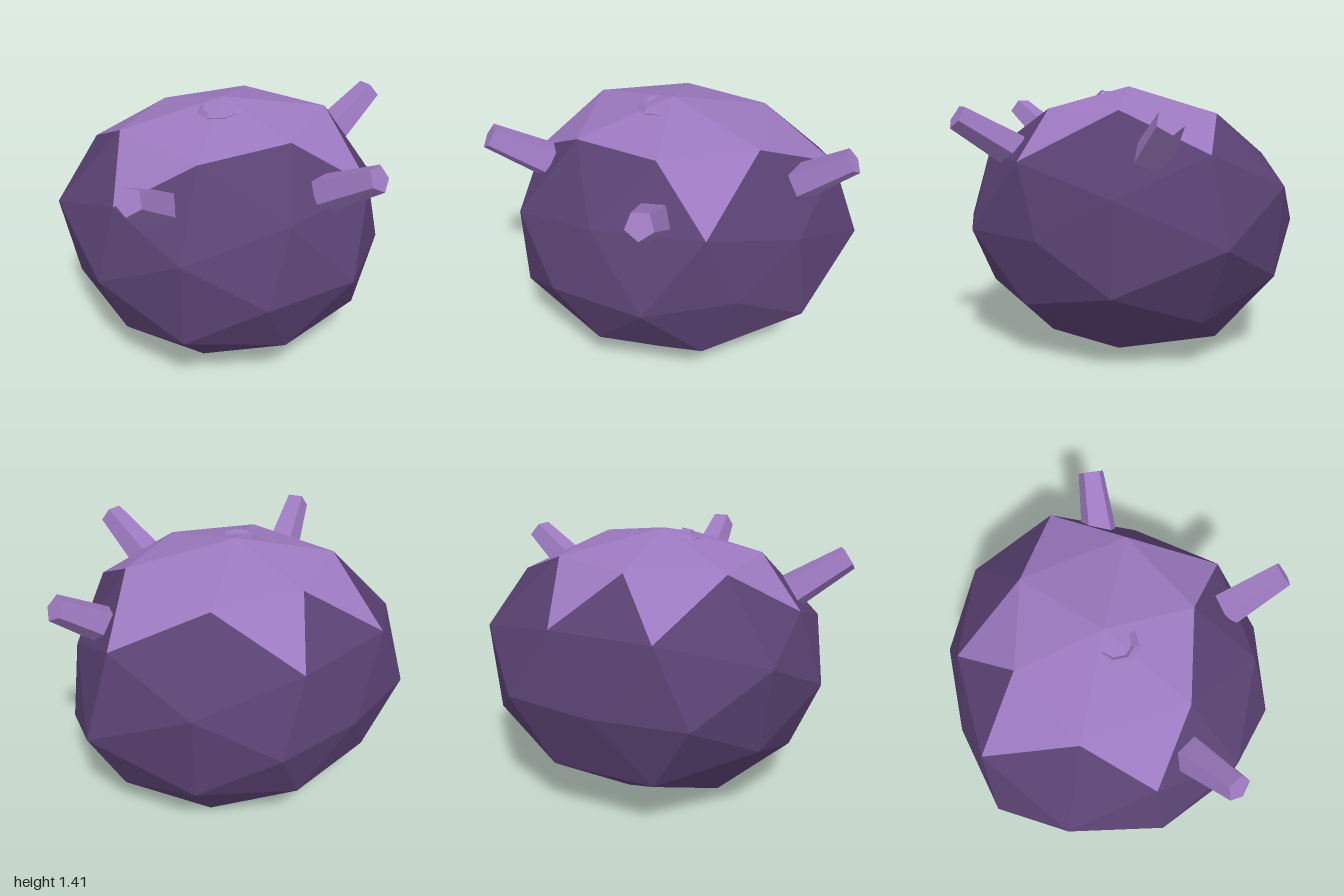
import * as THREE from 'three';

const shellMat = new THREE.MeshStandardMaterial({ name: 'dark purple shell', color: 0x594171, flatShading: true });
const lightMat = new THREE.MeshStandardMaterial({ name: 'light purple', color: 0x9c79bf, flatShading: true });

const CENTRE = new THREE.Vector3(-0.09, 0.67, 0.03);
const SQUASH = 0.8;

// Uneven radius of each corner of the rock: signs of x, y, z, then the dominant axis
const RADIUS = {
  '0+0y': 0.925, '0-0y': 0.832, '+00x': 0.92, '-00x': 0.85, '00+z': 0.89, '00-z': 1.03,
  '++0y': 0.917, '-+0y': 0.89, '+-0y': 0.9, '--0y': 0.832,
  '0++z': 0.893, '0+-z': 1.02, '0-+z': 0.87, '0--z': 0.963,
  '+0+x': 0.917, '-0+x': 0.93, '+0-x': 0.86, '-0-x': 0.92,
  '+++y': 0.915, '-++y': 0.935, '++-y': 0.975, '-+-y': 0.93,
  '+-+y': 0.885, '--+y': 0.88, '+--y': 0.93, '---y': 0.96,
  '+++z': 0.92, '-++z': 0.95, '++-z': 0.9, '-+-z': 0.98,
  '+-+z': 0.915, '--+z': 0.87, '+--z': 0.96, '---z': 0.94,
  '+++x': 0.91, '-++x': 0.94, '++-x': 0.945, '-+-x': 0.895,
  '+-+x': 0.89, '--+x': 0.895, '+--x': 0.9, '---x': 0.89,
};

function radiusOf(d) {
  const sign = (n) => (Math.abs(n) < 0.01 ? '0' : n > 0 ? '+' : '-');
  const [ax, ay, az] = [d.x, d.y, d.z].map(Math.abs);
  const axis = ax > ay && ax > az ? 'x' : ay > az ? 'y' : 'z';
  return RADIUS[sign(d.x) + sign(d.y) + sign(d.z) + axis] ?? 0.92;
}

// Faces of the squashed, uneven ball, divided into shell and star-shaped cap
function rockParts() {
  const pos = new THREE.IcosahedronGeometry(1, 1).attributes.position;
  const faces = { shell: [], cap: [] };
  for (let i = 0; i < pos.count; i += 3) {
    const corners = [0, 1, 2].map((k) => new THREE.Vector3().fromBufferAttribute(pos, i + k).normalize());
    const mid = new THREE.Vector3();
    corners.forEach((c) => mid.addScaledVector(c, 1 / 3));
    // one point of the star is missing at the front left
    const isCap = mid.y > 0.66 && !(mid.x > 0.45 && mid.z > 0.15);
    for (const c of corners) {
      const r = radiusOf(c);
      faces[isCap ? 'cap' : 'shell'].push(
        CENTRE.x + c.x * r, CENTRE.y + c.y * r * SQUASH, CENTRE.z + c.z * r);
    }
  }
  return faces;
}

function faceMesh(name, points, material) {
  const geo = new THREE.BufferGeometry();
  geo.setAttribute('position', new THREE.Float32BufferAttribute(points, 3));
  geo.computeVertexNormals();
  const mesh = new THREE.Mesh(geo, material);
  mesh.name = name;
  return mesh;
}

// Tapered five-sided spike, one edge turned downwards
function spike(name, from, to) {
  const a = new THREE.Vector3(...from);
  const b = new THREE.Vector3(...to);
  const dir = b.clone().sub(a);
  const mesh = new THREE.Mesh(new THREE.CylinderGeometry(0.07, 0.1, dir.length(), 5), lightMat);
  dir.normalize();
  const down = new THREE.Vector3(0, -1, 0).addScaledVector(dir, dir.y).normalize();
  const side = dir.clone().cross(down);
  mesh.quaternion.setFromRotationMatrix(new THREE.Matrix4().makeBasis(side, dir, down));
  mesh.position.copy(a).add(b).multiplyScalar(0.5);
  mesh.name = name;
  return mesh;
}

export function createModel() {
  const model = new THREE.Group();
  model.name = 'spikedRock';

  const faces = rockParts();
  model.add(faceMesh('shell', faces.shell, shellMat));
  model.add(faceMesh('starCap', faces.cap, lightMat));

  model.add(spike('leftSpike', [0.6, 1.085, 0.01], [0.9, 1.265, 0.0]));
  model.add(spike('frontSpike', [0.13, 1.085, 0.68], [0.245, 1.265, 0.94]));
  model.add(spike('backSpike', [0.13, 1.085, -0.66], [0.18, 1.265, -0.915]));

  // Small half ring barely standing out of the top
  const ridge = new THREE.Mesh(new THREE.TorusGeometry(0.09, 0.022, 4, 4, Math.PI), lightMat);
  ridge.name = 'topRidge';
  ridge.rotation.set(Math.PI / 2 + 0.08, 0, -0.25);
  ridge.position.set(-0.05, 1.367, 0.105);
  model.add(ridge);

  return model;
}
